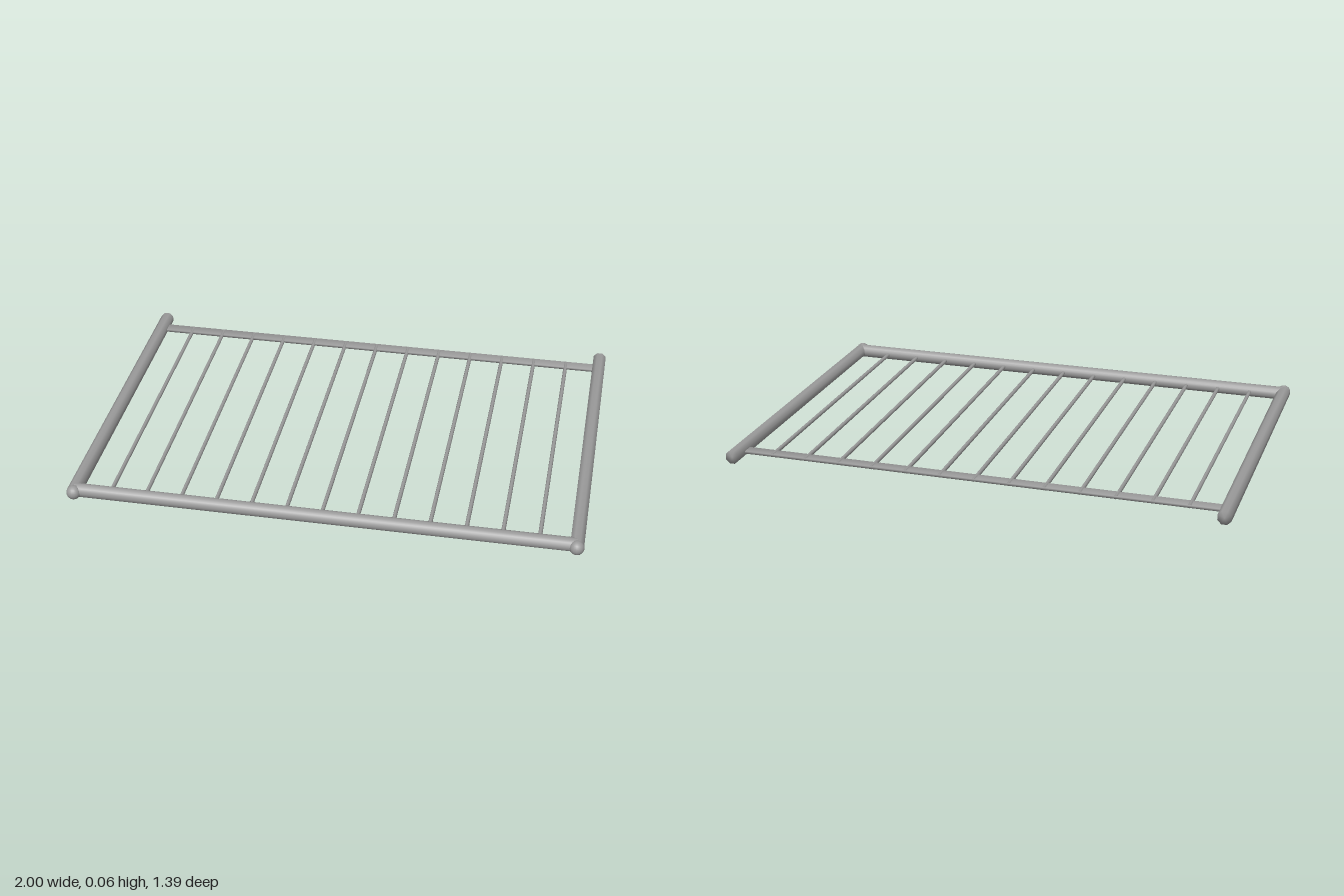
import * as THREE from 'three';
import { mergeVertices } from 'three/addons/utils/BufferGeometryUtils.js';

const Y = 0.033; // height of the frame's centre plane

// Share normals across edges so shading runs smoothly into the caps
function smooth(geo) {
  geo.deleteAttribute('normal');
  geo.deleteAttribute('uv');
  const merged = mergeVertices(geo, 1e-5);
  merged.computeVertexNormals();
  return merged;
}

export function createModel() {
  const group = new THREE.Group();
  group.name = 'railingPanel';
  const steel = new THREE.MeshStandardMaterial({ color: 0x9c9c9c });
  steel.name = 'grey steel';

  const add = (name, geo, x, y, z) => {
    const mesh = new THREE.Mesh(geo, steel);
    mesh.name = name;
    mesh.position.set(x, y, z);
    group.add(mesh);
    return mesh;
  };

  // Side posts with ball caps at the front corners
  const postStart = -0.695, postEnd = 0.66;
  const post = new THREE.CylinderGeometry(0.0281, 0.0281, postEnd - postStart, 8);
  post.rotateY(Math.PI / 8);
  post.rotateX(Math.PI / 2);
  const postGeo = smooth(post);
  const ballGeo = new THREE.SphereGeometry(0.028, 16, 12);
  for (const [side, label] of [[1, 'left'], [-1, 'right']]) {
    add(label + 'Post', postGeo, side * 0.972, Y, (postStart + postEnd) / 2);
    add(label + 'BallCap', ballGeo, side * 0.972, Y, 0.667);
  }

  // Round front rail
  const rail = new THREE.CylinderGeometry(0.027, 0.027, 1.944, 16);
  rail.rotateZ(Math.PI / 2);
  add('frontRail', smooth(rail), 0, Y, 0.649);

  // Flat back rail
  add('backRail', smooth(new THREE.BoxGeometry(1.9, 0.01, 0.047)), 0, Y, -0.61);

  // Thin bars between the rails
  const barStart = -0.63, barEnd = 0.64;
  const bar = new THREE.CylinderGeometry(0.008, 0.008, barEnd - barStart, 8);
  bar.rotateX(Math.PI / 2);
  const barGeo = smooth(bar);
  for (let i = -6; i <= 6; i++) {
    add('bar' + (i + 7), barGeo, i * 0.1385, Y, (barStart + barEnd) / 2);
  }
  return group;
}
